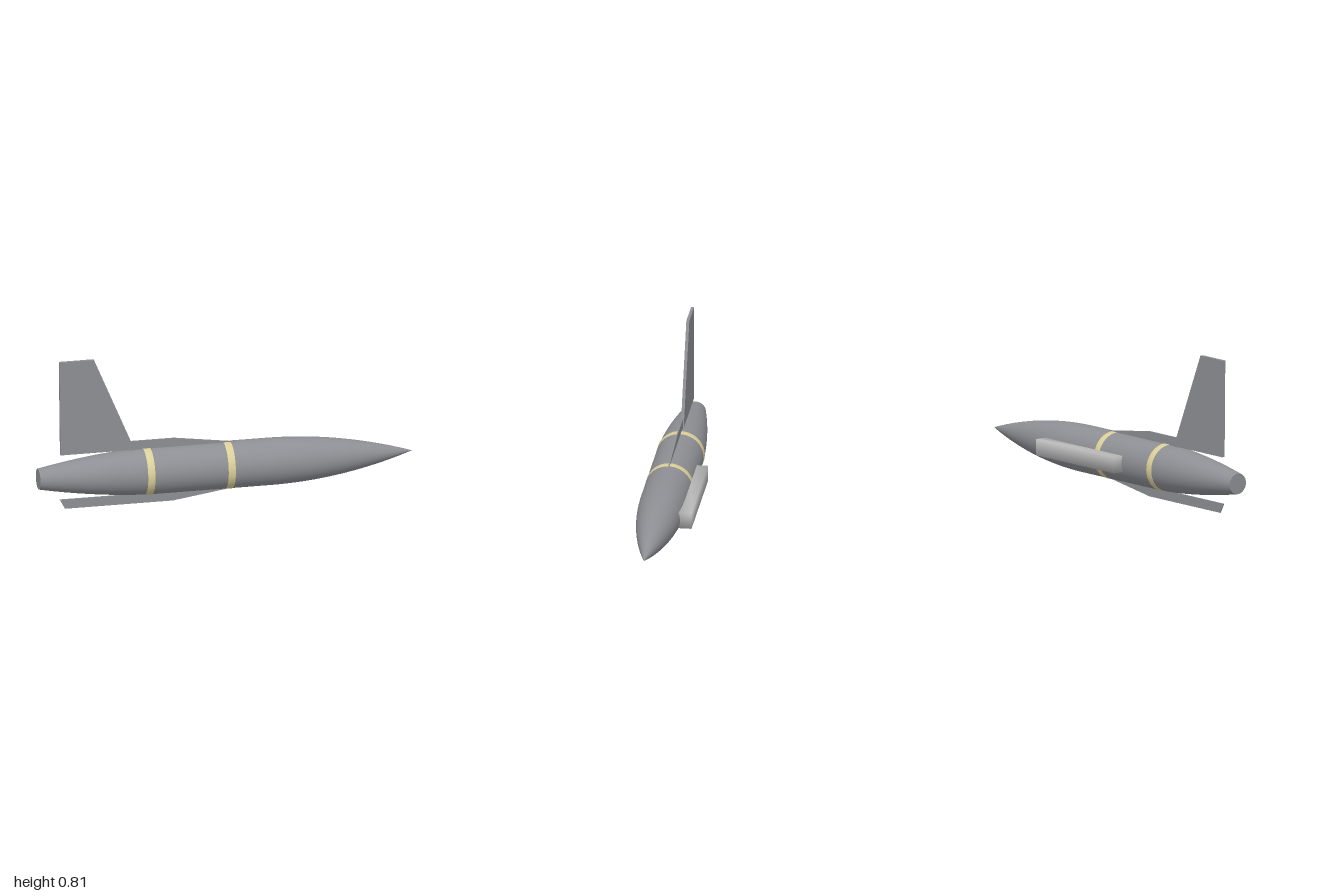
import * as THREE from 'three';
import { mergeVertices } from 'three/addons/utils/BufferGeometryUtils.js';

const AXIS_Y = 0.175, AXIS_Z = 0.025, RADIUS = 0.124;

export function createModel() {
  const model = new THREE.Group();
  const mat = (name, color) => new THREE.MeshStandardMaterial({ name, color });
  const hullGrey = mat('hullGrey', 0x8e8f94);
  const podGrey = mat('podGrey', 0xbcbcbc);
  const bandCream = mat('bandCream', 0xdbd09a);

  const add = (name, geometry, material) => {
    const mesh = new THREE.Mesh(geometry, material);
    mesh.name = name;
    model.add(mesh);
    return mesh;
  };

  // Fuselage pieces turned around the x axis
  const turned = (name, points, material) => {
    const geo = new THREE.LatheGeometry(points, 64);
    geo.rotateZ(-Math.PI / 2);
    geo.translate(0, AXIS_Y, AXIS_Z);
    return add(name, geo, material);
  };

  // Tapered tail, straight middle, parabolic nose
  const profile = [];
  for (let i = 0; i <= 14; i++) {
    const t = i / 14;
    profile.push(new THREE.Vector2(RADIUS - 0.069 * Math.pow(1 - t, 1.75), -1 + 0.62 * t));
  }
  for (let i = 0; i <= 24; i++) {
    const t = i / 24;
    profile.push(new THREE.Vector2(RADIUS * (1 - t * t), 0.23 + 0.77 * t));
  }
  turned('fuselage', profile, hullGrey);

  // Flat tail end
  const tail = new THREE.CircleGeometry(0.055, 64);
  tail.rotateY(-Math.PI / 2);
  tail.translate(-1, AXIS_Y, AXIS_Z);
  add('tailCap', tail, hullGrey);

  // Painted bands
  [['rearBand', -0.42], ['frontBand', 0.01]].forEach(([name, x]) => {
    const w = 0.019, r = RADIUS + 0.0015;
    turned(name, [[RADIUS - 0.003, x - w], [r, x - w], [r, x + w], [RADIUS - 0.003, x + w]]
      .map(([a, b]) => new THREE.Vector2(a, b)), bandCream);
  });

  // Flat plates in the plane of symmetry
  const plate = (name, points, depth) => {
    const shape = new THREE.Shape(points.map(([x, y]) => new THREE.Vector2(x, y)));
    const geo = new THREE.ExtrudeGeometry(shape, { depth, bevelEnabled: false });
    geo.translate(0, 0, AXIS_Z - depth / 2);
    return add(name, geo, hullGrey);
  };
  plate('tailFin', [[-0.882, 0.299], [-0.485, 0.299], [-0.703, 0.813], [-0.888, 0.813]], 0.016);
  plate('dorsalStrake', [[-0.52, 0.295], [0.075, 0.297], [-0.275, 0.346], [-0.52, 0.346]], 0.006);
  plate('ventralStrake', [[-0.885, 0.052], [-0.857, 0], [-0.28, 0], [0.075, 0.052]], 0.006);

  // Side pod with softly shaded corners
  let pod = new THREE.BoxGeometry(0.64, 0.086, 0.09);
  pod.deleteAttribute('normal');
  pod.deleteAttribute('uv');
  pod = mergeVertices(pod);
  pod.computeVertexNormals();
  pod.translate(0.124, 0.174, -0.105);
  add('sidePod', pod, podGrey);

  return model;
}
